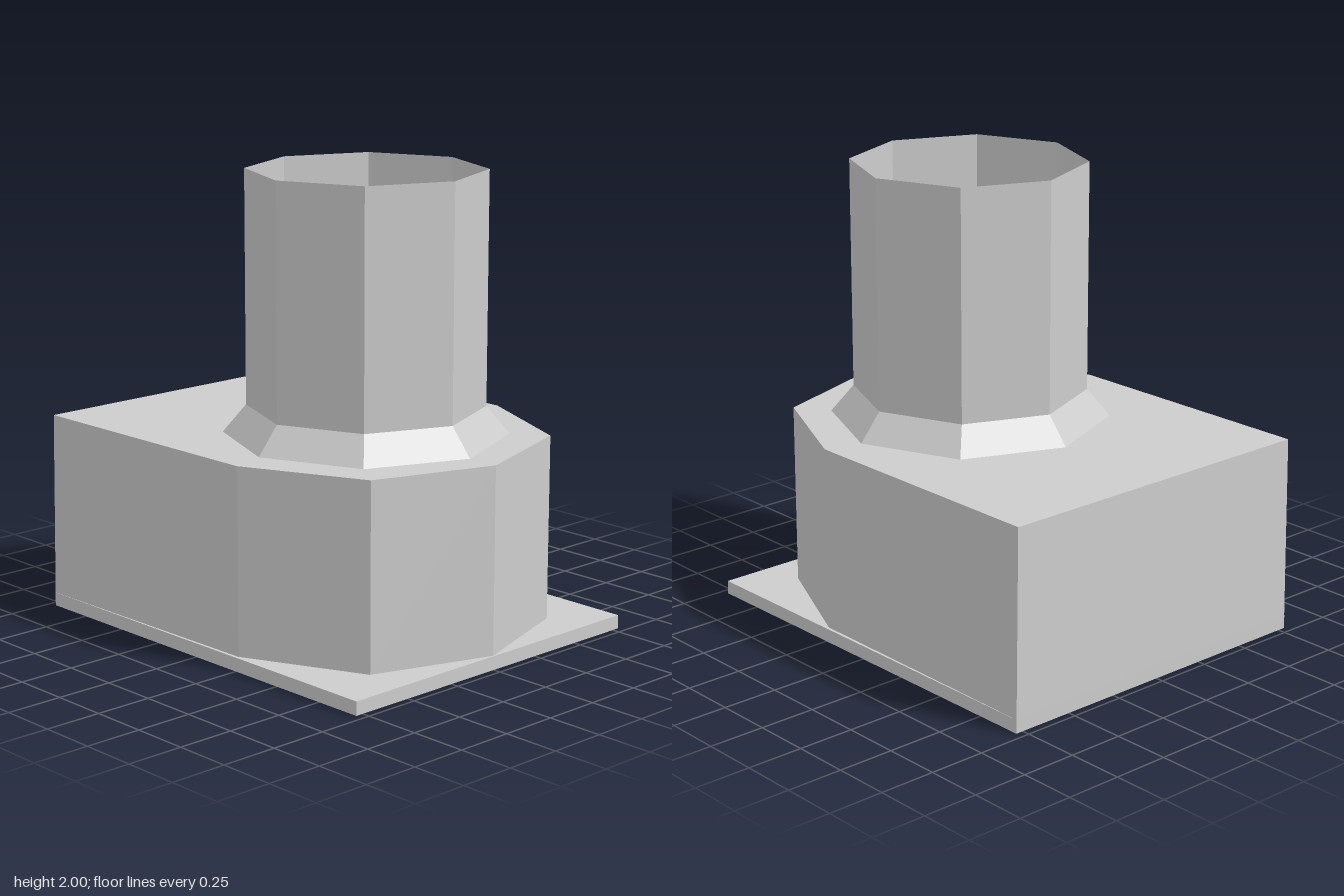
import * as THREE from 'three';

export function createModel() {
  const model = new THREE.Group();
  const grey = new THREE.MeshStandardMaterial({
    name: 'grey', color: 0xcccccc, flatShading: true, side: THREE.DoubleSide,
  });

  function add(name, geometry, x, y) {
    const mesh = new THREE.Mesh(geometry, grey);
    mesh.name = name;
    mesh.position.set(x, y, 0);
    model.add(mesh);
  }

  // Base plate: a shallow tray, open underneath
  const plate = new THREE.BoxGeometry(1.93, 0.06, 1.57);
  const index = Array.from(plate.index.array);
  index.splice(18, 6); // drop the bottom face
  plate.setIndex(index);
  plate.clearGroups();
  add('basePlate', plate, 0, 0.03);

  // Body: square at the left end, faceted nose at the other, slightly tapered
  const nose = [[0.25, 0.77], [0.78, 0.53], [0.96, 0], [0.78, -0.53], [0.25, -0.77]];
  const ring = (x, z, y) =>
    [[x, z], ...nose, [x, -z]].map(([px, pz]) => [px, y, pz]);
  const low = ring(-0.965, 0.784, 0.06);
  const high = ring(-0.96, 0.773, 0.87);
  const points = [];
  low.forEach((p, i) => {
    const j = (i + 1) % low.length;
    points.push(p, low[j], high[j], p, high[j], high[i]);
    if (i > 0 && j > 0) points.push(high[0], high[i], high[j]);
  });
  const body = new THREE.BufferGeometry();
  body.setAttribute('position', new THREE.Float32BufferAttribute(points.flat(), 3));
  body.computeVertexNormals();
  add('body', body, 0, 0);

  // Eight-sided collar and open pipe
  add('collar', new THREE.CylinderGeometry(0.51, 0.61, 0.12, 8, 1, true), 0.205, 0.93);
  add('pipe', new THREE.CylinderGeometry(0.51, 0.51, 1.01, 8, 1, true), 0.205, 1.495);

  return model;
}
